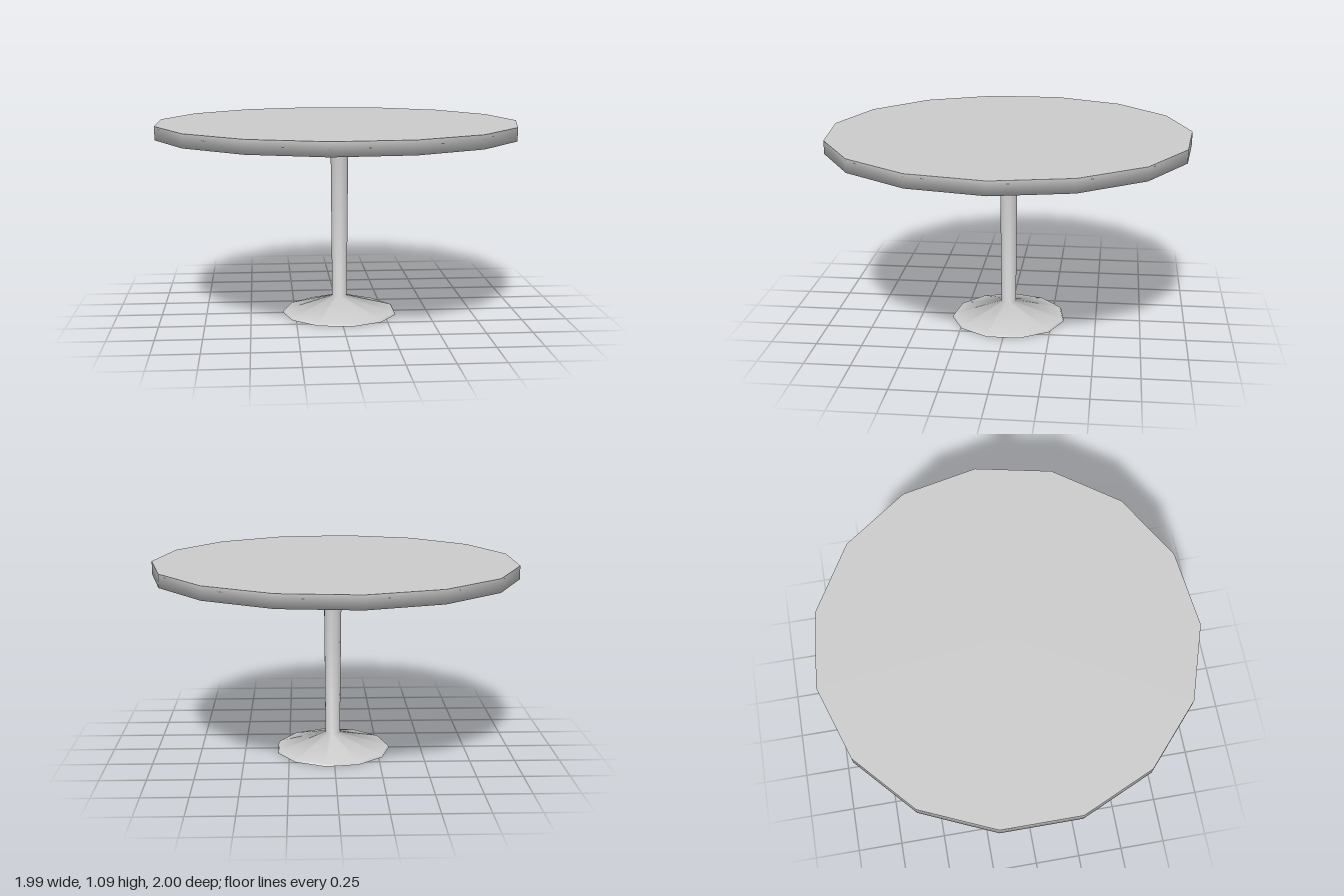
import * as THREE from 'three';

const material = new THREE.MeshStandardMaterial({ color: 0xcccccc });

// Revolves [radius, height] points; the first corner lies at the given angle from +z.
function turned(name, profile, sides, startAngle) {
  const points = profile.map(([r, y]) => new THREE.Vector2(r, y));
  const mesh = new THREE.Mesh(new THREE.LatheGeometry(points, sides, startAngle), material);
  mesh.name = name;
  return mesh;
}

// Flat polygonal cap facing up or down, with its first corner on +x or -x.
function disc(name, radius, sides, y, facing, start = 0) {
  const geometry = new THREE.CircleGeometry(radius, sides, start);
  geometry.rotateX(-facing * Math.PI / 2);
  const mesh = new THREE.Mesh(geometry, material);
  mesh.position.y = y;
  mesh.name = name;
  return mesh;
}

export function createModel() {
  const model = new THREE.Group();
  model.name = 'pedestalTable';

  // Fifteen-sided top: shallow conical underside flowing into the rim
  const tabletop = new THREE.Group();
  tabletop.name = 'tabletop';
  const topRadius = 1.0055;
  tabletop.add(
    turned('undersideAndRim', [[0, 0.98], [topRadius, 1.012], [topRadius, 1.085]], 15, Math.PI / 2),
    disc('topSurface', topRadius, 15, 1.085, 1)
  );
  tabletop.position.x = -0.011;

  // Slim stem flaring out into the sloping foot
  const pedestal = new THREE.Group();
  pedestal.name = 'pedestal';
  const footProfile = [[0.324, 0], [0.316, 0.013], [0.042, 0.095], [0.05, 0.98], [0.07, 0.985]];
  pedestal.add(
    turned('stemAndFoot', footProfile, 11, -Math.PI / 2),
    disc('footBottom', 0.324, 11, 0, -1, Math.PI)
  );
  pedestal.position.x = 0.003;

  model.add(tabletop, pedestal);
  return model;
}
